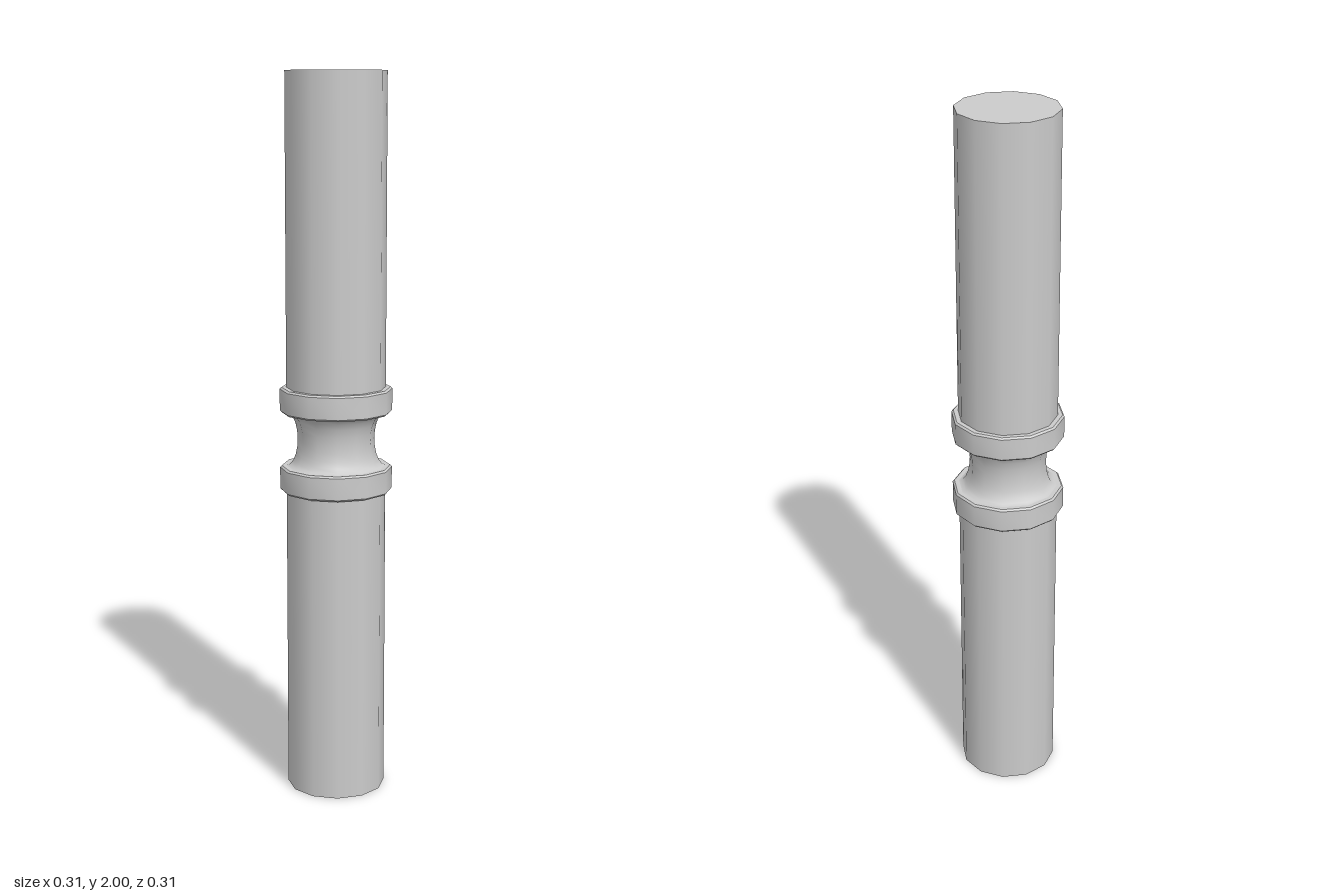
import * as THREE from 'three';
import { toCreasedNormals } from 'three/addons/utils/BufferGeometryUtils.js';

const SIDES = 12;
const SHAFT_R = 0.137, COLLAR_R = 0.155, WAIST_R = 0.106;
const COLLAR_BOTTOM = 0.86, COLLAR_TOP = 0.93; // lower collar; the upper one sits above the neck
const NECK_TOP = 1.08, UPPER_TOP = 1.15;

export function createModel() {
  const model = new THREE.Group();
  const material = new THREE.MeshStandardMaterial({ color: 0xcccccc });

  const add = (name, geometry, y = 0) => {
    const mesh = new THREE.Mesh(geometry, material);
    mesh.name = name;
    mesh.position.y = y;
    model.add(mesh);
  };

  // Plain round shaft between two heights
  const shaft = (name, y0, y1) =>
    add(name, new THREE.CylinderGeometry(SHAFT_R, SHAFT_R, y1 - y0, SIDES), (y0 + y1) / 2);

  // Raised ring with a slight chamfer on both rims
  const collar = (name, y0, y1) => {
    const c = 0.005;
    const profile = [
      [0.1, y0], [COLLAR_R - c, y0], [COLLAR_R, y0 + c],
      [COLLAR_R, y1 - c], [COLLAR_R - c, y1], [0.1, y1],
    ].map(([r, y]) => new THREE.Vector2(r, y));
    add(name, toCreasedNormals(new THREE.LatheGeometry(profile, SIDES), 0.7));
  };

  shaft('lowerShaft', 0, COLLAR_BOTTOM);
  collar('lowerCollar', COLLAR_BOTTOM, COLLAR_TOP);
  collar('upperCollar', NECK_TOP, UPPER_TOP);
  shaft('upperShaft', UPPER_TOP, 2);

  // Concave neck between the collars
  const neck = [];
  const mid = (COLLAR_TOP + NECK_TOP) / 2, half = (NECK_TOP - COLLAR_TOP) / 2;
  for (let i = 0; i <= 10; i++) {
    const a = (i / 10 - 0.5) * Math.PI;
    neck.push(new THREE.Vector2(
      SHAFT_R - (SHAFT_R - WAIST_R) * Math.cos(a),
      mid + half * Math.sin(a)));
  }
  add('neck', new THREE.LatheGeometry(neck, SIDES));

  return model;
}
